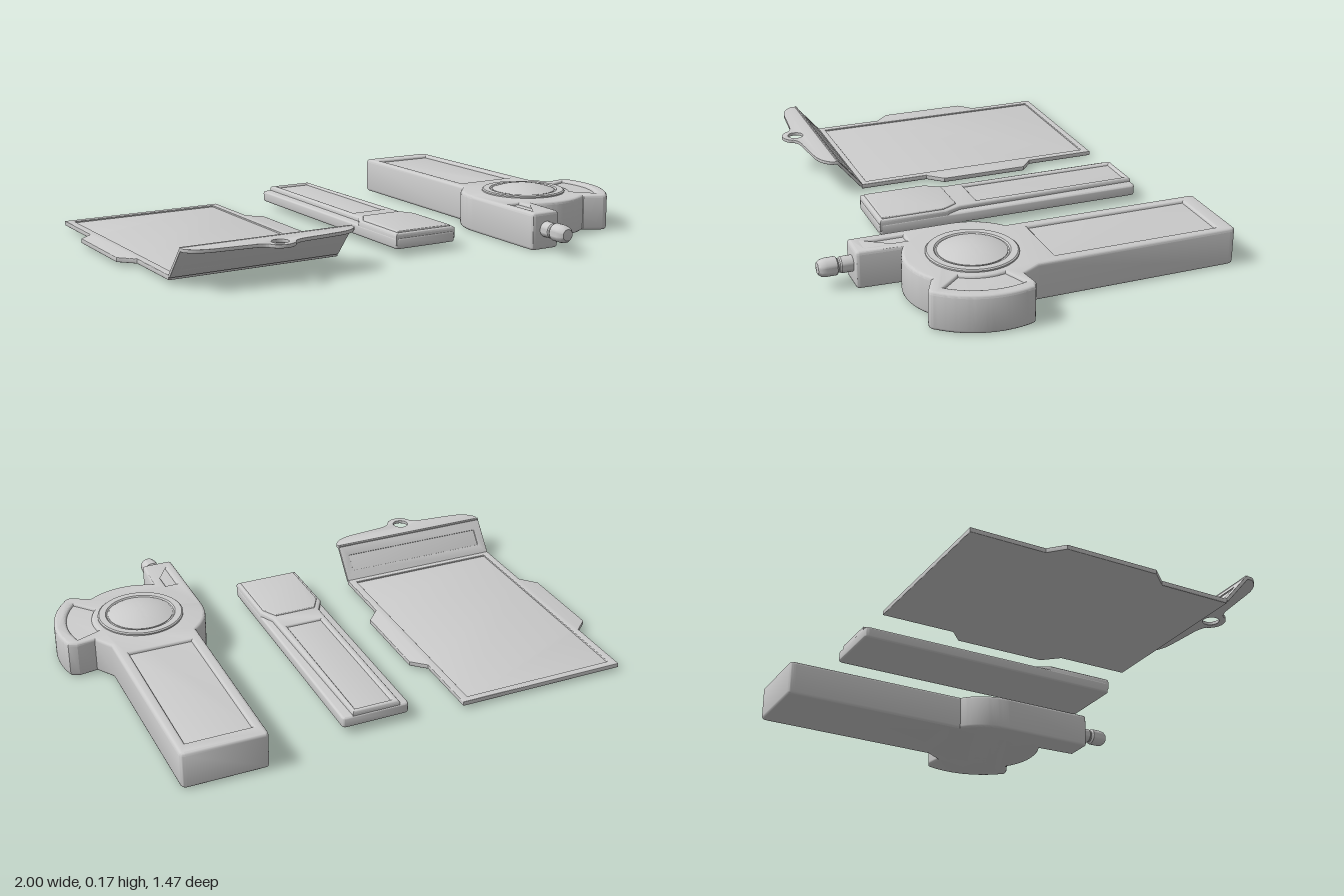
import * as THREE from 'three';
import { toCreasedNormals } from 'three/addons/utils/BufferGeometryUtils.js';

const grey = new THREE.MeshStandardMaterial({ color: 0xcccccc });

function mesh(name, geometry, crease = 0.6) {
  const m = new THREE.Mesh(toCreasedNormals(geometry, crease), grey);
  m.name = name;
  return m;
}

// Plan outlines are drawn in (x, z)
const poly = (pts) => new THREE.Shape(pts.map(([x, z]) => new THREE.Vector2(x, z)));
const rect = (x0, z0, x1, z1) => poly([[x0, z0], [x1, z0], [x1, z1], [x0, z1]]);

function roundRect(x0, z0, x1, z1, r) {
  const s = new THREE.Shape();
  s.absarc(x1 - r, z1 - r, r, 0, Math.PI / 2);
  s.absarc(x0 + r, z1 - r, r, Math.PI / 2, Math.PI);
  s.absarc(x0 + r, z0 + r, r, Math.PI, Math.PI * 1.5);
  s.absarc(x1 - r, z0 + r, r, Math.PI * 1.5, Math.PI * 2);
  return s;
}

// Slab standing between y0 and y1, with bevelled edges that keep the outline
function slab(name, shape, y0, y1, bevel, inset = 0) {
  const g = new THREE.ExtrudeGeometry(shape, {
    depth: y1 - y0 - 2 * bevel, bevelEnabled: bevel > 0, bevelThickness: bevel,
    bevelSize: bevel, bevelOffset: -bevel - inset, bevelSegments: 3, curveSegments: 20,
  });
  g.rotateX(Math.PI / 2);
  g.translate(0, y1 - bevel, 0);
  return mesh(name, g);
}

// Slab with sunken panels: a cut-out shell over a slightly lower core
function panelled(name, shape, holes, y0, y1, bevel, sink) {
  const group = new THREE.Group();
  group.name = name;
  const core = slab(name + 'Panels', shape.clone(), y0, y1 - sink, bevel, 0.002);
  shape.holes.push(...holes);
  group.add(slab(name + 'Shell', shape, y0, y1, bevel), core);
  return group;
}

function clipboard() {
  const group = new THREE.Group();
  group.name = 'flapBoard';
  const cx = -0.61;
  // Flat plate with side tabs
  const half = [[0.335, -0.68], [0.335, -0.4], [0.39, -0.35], [0.39, 0.0], [0.335, 0.06], [0.335, 0.335]];
  const outline = poly([
    ...half.map(([x, z]) => [cx + x, z]),
    ...half.slice().reverse().map(([x, z]) => [cx - x, z]),
  ]);
  group.add(panelled('plate', outline, [rect(cx - 0.305, -0.652, cx + 0.305, 0.31)], 0.012, 0.03, 0.002, 0.006));

  // Sloped strip with a long slot
  const slope = panelled('flapSlope', rect(cx - 0.335, 0, cx + 0.335, 0.158),
    [rect(cx - 0.3, 0.04, cx + 0.3, 0.108)], -0.012, 0, 0.001, 0.004);
  slope.position.set(0, 0.029, 0.332);
  slope.rotation.x = -Math.atan2(0.118, 0.1);
  group.add(slope);

  // Level lip with a hanging ring
  const s = new THREE.Shape();
  s.moveTo(cx - 0.335, 0.428);
  s.lineTo(cx + 0.335, 0.428);
  s.lineTo(cx + 0.335, 0.455);
  s.quadraticCurveTo(cx + 0.31, 0.5, cx + 0.24, 0.507);
  s.lineTo(cx + 0.1, 0.52);
  s.quadraticCurveTo(cx + 0.065, 0.525, cx + 0.052, 0.54);
  s.absarc(cx, 0.52, 0.056, 0.37, Math.PI - 0.37, false);
  s.quadraticCurveTo(cx - 0.065, 0.525, cx - 0.1, 0.52);
  s.lineTo(cx - 0.24, 0.507);
  s.quadraticCurveTo(cx - 0.31, 0.5, cx - 0.335, 0.455);
  s.holes.push(new THREE.Path().absarc(cx, 0.52, 0.031, 0, Math.PI * 2));
  group.add(slab('flapLip', s, 0.134, 0.147, 0.001));
  return group;
}

function slimHandset() {
  const group = new THREE.Group();
  group.name = 'slimHandset';
  group.add(slab('base', roundRect(-0.065, -0.655, 0.198, 0.41, 0.015), 0.025, 0.068, 0.008));
  // Narrow raised grip flaring into the wide head
  const grip = poly([
    [-0.028, -0.652], [0.157, -0.652], [0.17, 0.08], [0.197, 0.14],
    [0.197, 0.408], [-0.064, 0.408], [-0.064, 0.14], [-0.03, 0.08],
  ]);
  group.add(panelled('grip', grip, [rect(-0.002, -0.63, 0.14, 0.0)], 0.035, 0.085, 0.01, 0.008));
  const head = poly([[-0.015, 0.09], [0.15, 0.09], [0.183, 0.15], [0.183, 0.395], [-0.05, 0.395], [-0.05, 0.15]]);
  group.add(slab('headPlate', head, 0.06, 0.091, 0.005));
  return group;
}

function scanner() {
  const group = new THREE.Group();
  group.name = 'scanner';
  const cx = 0.665, cz = 0.22;

  // Body outline: handle, side wing, round middle and front post
  const s = new THREE.Shape();
  s.moveTo(0.52, -0.735);
  s.lineTo(0.81, -0.735);
  s.quadraticCurveTo(0.828, -0.733, 0.828, -0.71);
  s.lineTo(0.835, 0.04);
  s.lineTo(0.88, 0.11);
  s.lineTo(0.95, 0.1);
  s.absarc(cx, cz, 0.334, -0.32, 0.74, false);
  s.quadraticCurveTo(0.895, 0.47, 0.87, 0.455);
  s.lineTo(0.81, 0.425);
  s.absarc(cx, cz, 0.248, 0.95, 2.08, false);
  s.lineTo(0.538, 0.59);
  s.quadraticCurveTo(0.538, 0.603, 0.525, 0.603);
  s.lineTo(0.43, 0.603);
  s.quadraticCurveTo(0.416, 0.603, 0.416, 0.59);
  s.lineTo(0.416, 0.22);
  s.quadraticCurveTo(0.416, 0.1, 0.503, 0.03);
  s.lineTo(0.507, -0.71);
  s.quadraticCurveTo(0.507, -0.733, 0.52, -0.735);

  // Sunken screen, post window and wing window
  const wing = new THREE.Path();
  wing.absarc(cx, cz, 0.285, -0.3, 0.7, false);
  wing.absarc(cx, cz, 0.19, 0.62, -0.26, true);
  group.add(panelled('body', s, [
    rect(0.547, -0.67, 0.79, -0.04), rect(0.455, 0.405, 0.5, 0.555), wing,
  ], 0, 0.143, 0.012, 0.01));

  // Raised ring and shallow dome
  const profile = [[0.165, 0.135], [0.165, 0.148], [0.16, 0.152], [0.135, 0.152], [0.13, 0.147], [0.125, 0.147]];
  for (let i = 0; i <= 8; i++) {
    const r = 0.125 * (1 - i / 8);
    profile.push([r, 0.15 + 0.023 * (1 - (r / 0.125) ** 2)]);
  }
  const dome = mesh('domeAndRing', new THREE.LatheGeometry(profile.map(([r, y]) => new THREE.Vector2(r, y)), 48));
  dome.position.set(cx, 0, cz);
  group.add(dome);

  // Stepped nozzle at the end of the post
  const nozzle = mesh('nozzle', new THREE.LatheGeometry([
    [0.03, -0.02], [0.03, 0.045], [0.026, 0.05], [0.026, 0.056], [0.034, 0.062],
    [0.034, 0.1], [0.031, 0.118], [0.022, 0.129], [0, 0.132],
  ].map(([r, y]) => new THREE.Vector2(r, y)), 24));
  nozzle.rotation.x = Math.PI / 2;
  nozzle.position.set(0.48, 0.078, 0.6);
  group.add(nozzle);
  return group;
}

export function createModel() {
  const model = new THREE.Group();
  model.name = 'handheldSet';
  model.add(clipboard(), slimHandset(), scanner());
  return model;
}
